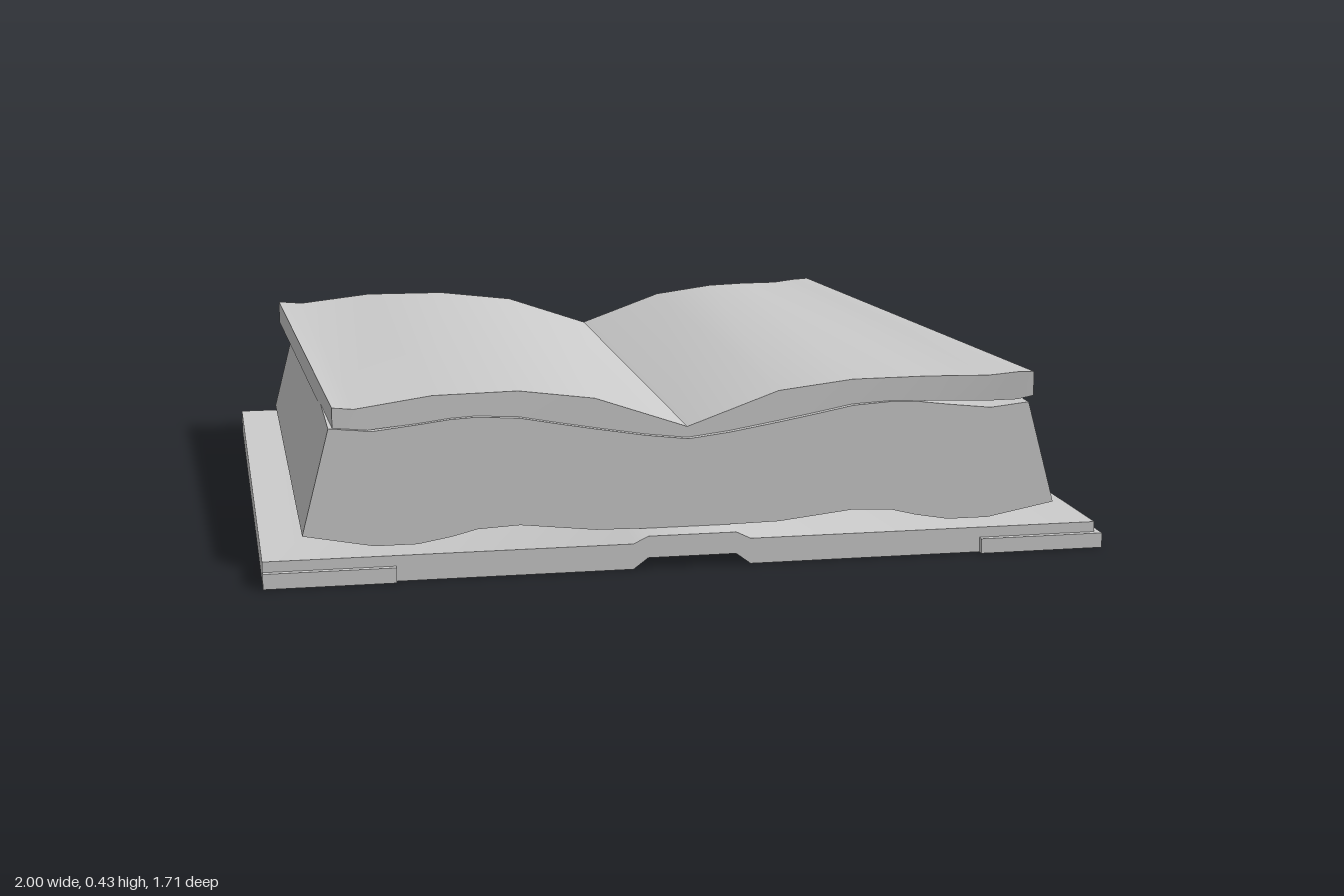
import * as THREE from 'three';
import { toCreasedNormals } from 'three/addons/utils/BufferGeometryUtils.js';

// Solid through cross-sections ordered front to back; each station is [x, top, bottom, z].
function loft(sections) {
  const pos = [];
  const quad = (a, b, c, d) => pos.push(...a, ...b, ...c, ...a, ...c, ...d);
  const top = (s) => [s[0], s[1], s[3]];
  const bot = (s) => [s[0], s[2], s[3]];
  const n = sections[0].length - 1;
  for (let k = 0; k < sections.length - 1; k++) {
    const f = sections[k], b = sections[k + 1];
    for (let i = 0; i < n; i++) {
      quad(top(f[i]), top(f[i + 1]), top(b[i + 1]), top(b[i]));
      quad(bot(f[i]), bot(b[i]), bot(b[i + 1]), bot(f[i + 1]));
    }
    quad(bot(f[0]), top(f[0]), top(b[0]), bot(b[0]));
    quad(bot(f[n]), bot(b[n]), top(b[n]), top(f[n]));
  }
  const f = sections[0], b = sections[sections.length - 1];
  for (let i = 0; i < n; i++) {
    quad(bot(f[i]), bot(f[i + 1]), top(f[i + 1]), top(f[i]));
    quad(bot(b[i]), top(b[i]), top(b[i + 1]), bot(b[i + 1]));
  }
  const geo = new THREE.BufferGeometry();
  geo.setAttribute('position', new THREE.Float32BufferAttribute(pos, 3));
  return toCreasedNormals(geo, 0.6);
}

export function createModel() {
  const book = new THREE.Group();
  book.name = 'openBook';
  const grey = new THREE.MeshStandardMaterial({ color: 0xcccccc });
  grey.name = 'grey';
  const add = (name, geo) => {
    const mesh = new THREE.Mesh(geo, grey);
    mesh.name = name;
    book.add(mesh);
    return mesh;
  };

  // Cover with a raised spine that flattens toward the back
  const coverSection = (z, ridge, hollow) => [
    [-1, 0.061, 0, z], [-0.145, 0.061, 0, z], [-0.11, ridge, hollow, z],
    [0.1, ridge, hollow, z], [0.135, 0.061, 0, z], [0.985, 0.061, 0, z],
  ];
  add('cover', loft([
    coverSection(0.84, 0.078, 0.026),
    coverSection(-0.74, 0.071, 0.002),
    coverSection(-0.845, 0.061, 0),
  ]));

  // Corner protectors
  for (const sx of [-1, 1]) {
    for (const sz of [-1, 1]) {
      const corner = add('coverCorner', new THREE.BoxGeometry(0.303, 0.036, 0.395));
      corner.position.set(sx * 0.8485, 0.018, sz * 0.6575);
    }
  }

  // Page block: wavy half profile [x, top, bottom], mirrored
  const half = [
    [0.1, 0.302, 0.078], [0.22, 0.322, 0.08], [0.31, 0.338, 0.09], [0.4, 0.355, 0.1],
    [0.5, 0.361, 0.095], [0.56, 0.358, 0.08], [0.64, 0.348, 0.066], [0.74, 0.337, 0.066],
  ];
  const pageSection = (z) => {
    const right = half.map(([x, t, b]) => [x, t, b, z]);
    const left = right.map(([x, t, b]) => [-x, t, b, z]).reverse();
    return [...left, [0, 0.29, 0.078, z], ...right];
  };
  // Slanted outer edges of the block
  const withEdges = (z) => {
    const s = pageSection(z);
    return [[-0.84, 0.347, 0.085, z], ...s, [0.835, 0.347, 0.085, z]];
  };
  const pages = loft([withEdges(0.768), withEdges(-0.738)]);
  const p = pages.attributes.position;
  for (let i = 0; i < p.count; i++) {
    // Push the lower rim outward
    if (Math.abs(p.getX(i)) > 0.8 && p.getY(i) < 0.2) {
      p.setXY(i, Math.sign(p.getX(i)) * 0.905, 0.097);
    }
  }
  add('pageBlock', toCreasedNormals(pages, 0.6));

  // Loose top pages, lying slightly askew
  add('topPages', loft([
    [
      [-0.83, 0.393, 0.338, 0.757], [-0.78, 0.388, 0.335, 0.757], [-0.6, 0.413, 0.352, 0.755],
      [-0.4, 0.416, 0.352, 0.752], [-0.22, 0.392, 0.318, 0.752], [0, 0.316, 0.286, 0.752],
      [0.22, 0.394, 0.318, 0.752], [0.4, 0.415, 0.352, 0.753], [0.58, 0.418, 0.358, 0.762],
      [0.73, 0.417, 0.355, 0.774], [0.8, 0.425, 0.358, 0.785], [0.838, 0.425, 0.367, 0.79],
    ],
    [
      [-0.885, 0.394, 0.335, -0.776], [-0.82, 0.39, 0.335, -0.765], [-0.63, 0.415, 0.352, -0.74],
      [-0.42, 0.416, 0.352, -0.724], [-0.22, 0.392, 0.318, -0.722], [0, 0.316, 0.286, -0.722],
      [0.22, 0.394, 0.318, -0.722], [0.38, 0.415, 0.352, -0.722], [0.48, 0.417, 0.356, -0.73],
      [0.58, 0.416, 0.355, -0.738], [0.64, 0.422, 0.355, -0.743], [0.683, 0.424, 0.362, -0.746],
    ],
  ]));

  return book;
}
